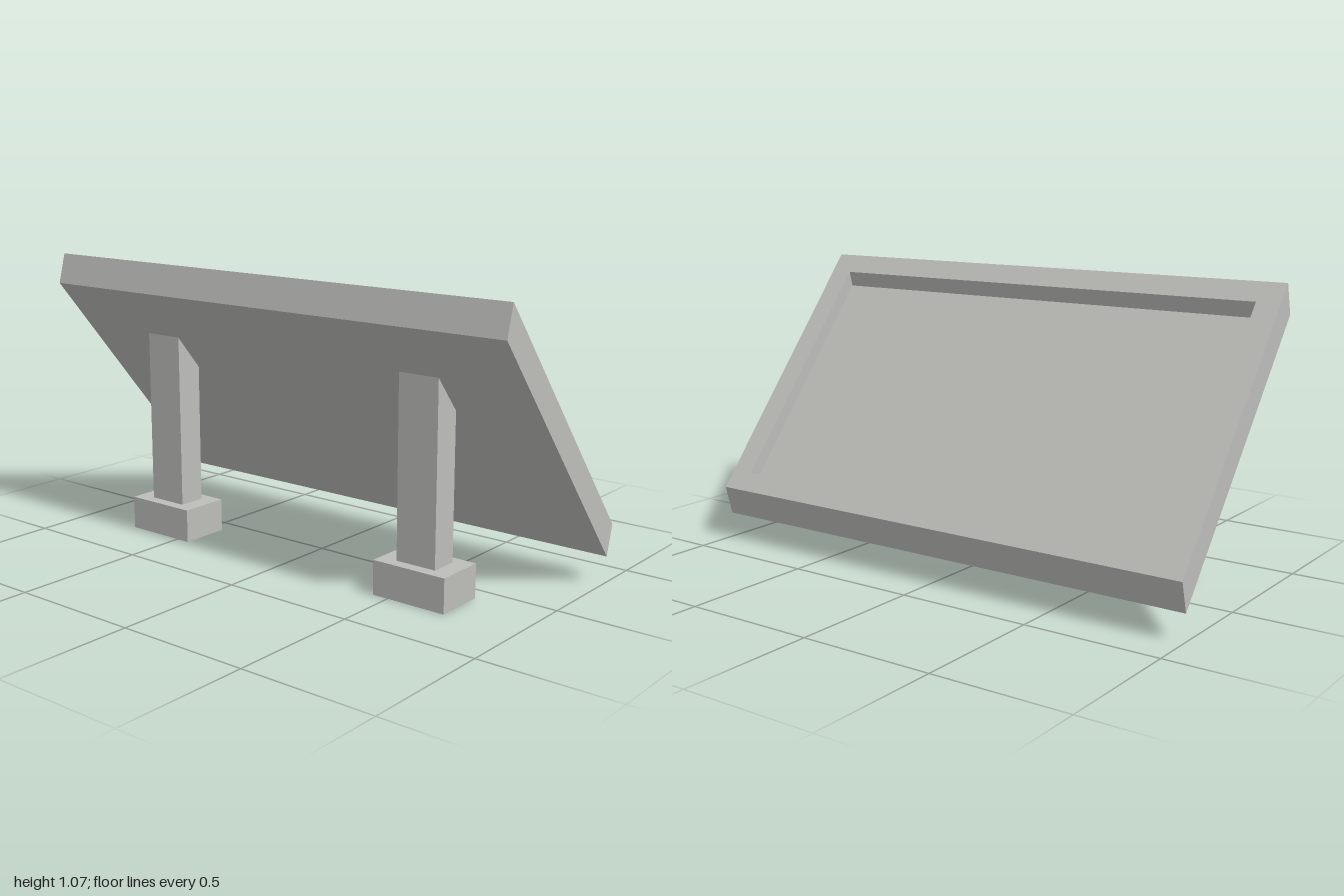
import * as THREE from 'three';

const concrete = new THREE.MeshStandardMaterial({ color: 0xbdbdba });
concrete.name = 'light grey';

// Side profile of the tilted panel, as [y, z]
const TOP = [1.068, 0.34];       // upper end, face side
const TOP_UNDER = [0.957, 0.37]; // upper end, underside
const LOW = [0.207, -0.37];      // lower end, face side

// x across, v from lower to upper end, d from the face (0) to the underside (1)
function panelPoint(x, v, d) {
  const at = (i) => LOW[i] + v * (TOP[i] - LOW[i]) + d * (TOP_UNDER[i] - TOP[i]);
  return [x, at(0), at(1)];
}

function undersideY(z) {
  const slope = (TOP[0] - LOW[0]) / (TOP[1] - LOW[1]);
  return TOP_UNDER[0] + (z - TOP_UNDER[1]) * slope;
}

// Tray-like panel: underside, outer walls, raised rim, inner walls and floor
function panelGeometry() {
  const rings = [
    { x: 1, v0: 0, v1: 1, d: 1 },
    { x: 1, v0: 0, v1: 1, d: 0 },
    { x: 0.91, v0: 0.07, v1: 0.925, d: 0 },
    { x: 0.91, v0: 0.07, v1: 0.925, d: 0.52 },
  ].map(({ x, v0, v1, d }) => [
    panelPoint(-x, v0, d), panelPoint(x, v0, d), panelPoint(x, v1, d), panelPoint(-x, v1, d),
  ]);
  const positions = [];
  const quad = (a, b, c, d) => positions.push(...a, ...b, ...c, ...a, ...c, ...d);
  quad(...rings[0]);
  for (let r = 0; r < rings.length - 1; r++) {
    for (let i = 0; i < 4; i++) {
      const j = (i + 1) % 4;
      quad(rings[r][i], rings[r + 1][i], rings[r + 1][j], rings[r][j]);
    }
  }
  quad(...[...rings[rings.length - 1]].reverse());
  const geometry = new THREE.BufferGeometry();
  geometry.setAttribute('position', new THREE.Float32BufferAttribute(positions, 3));
  geometry.computeVertexNormals();
  return geometry;
}

// Post with its top cut to the slope of the panel
function postGeometry(width, zBack, zFront, yBottom) {
  const shape = new THREE.Shape([
    new THREE.Vector2(zBack, yBottom),
    new THREE.Vector2(zFront, yBottom),
    new THREE.Vector2(zFront, undersideY(zFront)),
    new THREE.Vector2(zBack, undersideY(zBack)),
  ]);
  const geometry = new THREE.ExtrudeGeometry(shape, { depth: width, bevelEnabled: false });
  return geometry.translate(0, 0, -width / 2).rotateY(-Math.PI / 2);
}

export function createModel() {
  const model = new THREE.Group();
  model.name = 'tiltedPanelStand';
  const add = (name, geometry, x = 0) => {
    const mesh = new THREE.Mesh(geometry, concrete);
    mesh.name = name;
    mesh.position.x = x;
    model.add(mesh);
  };

  add('panel', panelGeometry());

  // Two posts on block feet
  const post = postGeometry(0.157, 0.117, 0.222, 0.125);
  const foot = new THREE.BoxGeometry(0.29, 0.125, 0.19).translate(0, 0.0625, 0.17);
  for (const [side, x] of [['right', -0.59], ['left', 0.583]]) {
    add(side + 'Post', post, x);
    add(side + 'Foot', foot, x);
  }
  return model;
}
